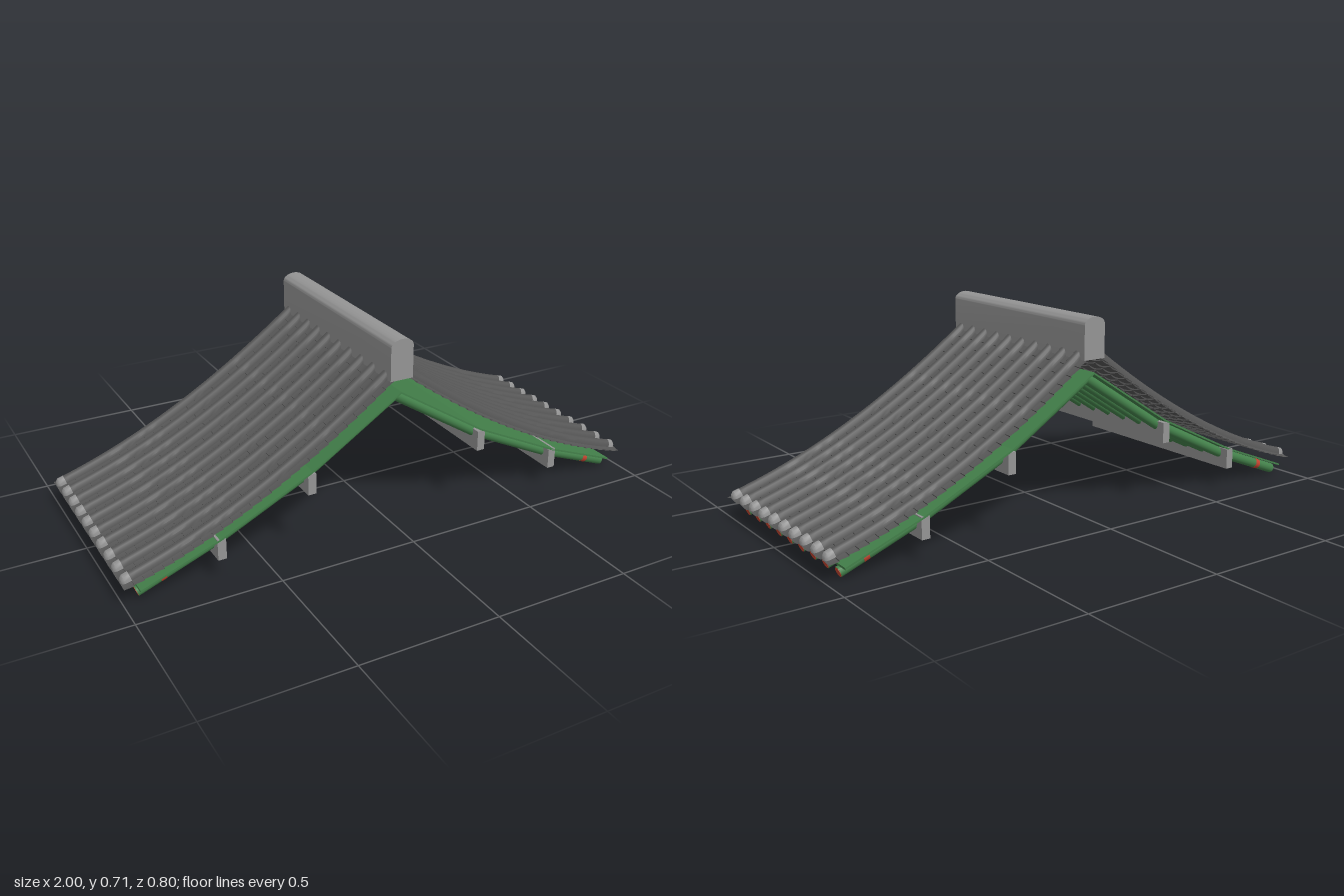
import * as THREE from 'three';
import { toCreasedNormals } from 'three/addons/utils/BufferGeometryUtils.js';

const mat = (name, color, side = THREE.FrontSide) => {
  const m = new THREE.MeshStandardMaterial({ color, side });
  m.name = name;
  return m;
};

// Surface grid: fn(i, j) gives a point, i runs down the slope, j runs along z
function grid(nu, nv, fn) {
  const pos = [], idx = [];
  for (let i = 0; i <= nu; i++) for (let j = 0; j <= nv; j++) pos.push(...fn(i, j));
  for (let i = 0; i < nu; i++) for (let j = 0; j < nv; j++) {
    const a = i * (nv + 1) + j, b = a + 1, c = a + nv + 1, d = c + 1;
    idx.push(a, b, c, b, d, c);
  }
  const g = new THREE.BufferGeometry();
  g.setAttribute('position', new THREE.Float32BufferAttribute(pos, 3));
  g.setIndex(idx);
  return toCreasedNormals(g, 0.7);
}

export function createModel() {
  const model = new THREE.Group();
  model.name = 'tiledRoof';
  const tile = mat('darkTile', 0x555555, THREE.DoubleSide);
  const stone = mat('grey', 0x949494);
  const cap = mat('greyCap', 0x949494, THREE.DoubleSide);
  const green = mat('greenPaint', 0x43804a);
  const red = mat('redPaint', 0xc0432f);

  const add = (parent, name, geo, material) => {
    const m = new THREE.Mesh(geo, material);
    m.name = name;
    parent.add(m);
    return m;
  };

  // Sagging roof line, and a point raised above it along its normal
  const line = new THREE.QuadraticBezierCurve(
    new THREE.Vector2(0.03, 0.58), new THREE.Vector2(0.53, 0.2), new THREE.Vector2(0.998, 0.068));
  const onRoof = (t, h, z) => {
    const p = line.getPoint(t), d = line.getTangent(t);
    return [p.x - d.y * h, p.y + d.x * h, z];
  };

  // Trough tiles in stepped courses, dipping between the ridges of cover tiles
  const courses = 28, pitch = 0.08, perPan = 8;
  const pans = grid(courses * 2 - 1, 10 * perPan, (i, j) => {
    const z = -0.4 + j * pitch / perPan;
    const u = (z / pitch - Math.round(z / pitch)) * 2;
    const t = Math.floor((i + 1) / 2) / courses;
    const step = i % 2 ? 0.005 : 0;
    return onRoof(t, step - 0.009 * (1 - u * u), z);
  });

  // Half-round cover tiles with rounded grey ends
  const arch = (t, s, j, n) => {
    const a = Math.PI * (1 - j / n);
    return onRoof(t, 0.024 * s * Math.sin(a), 0.019 * s * Math.cos(a));
  };
  const capStart = 0.963;
  const cover = grid(40, 7, (i, j) => arch(capStart * i / 40, 1, j, 7));
  const capRows = [[0, 1.04], [0.6, 1], [0.85, 0.7], [1, 0]];
  const coverCap = grid(3, 7, (i, j) =>
    arch(capStart + (1 - capStart) * capRows[i][0], capRows[i][1], j, 7));

  // Rafter line in three straight runs
  const rafter = [[0, 0.498], [0.335, 0.284], [0.665, 0.125], [0.945, 0.0175]]
    .map(([x, y]) => new THREE.Vector3(x, y, 0));
  const rod = (parent, name, a, b, r, material, z) => {
    const d = b.clone().sub(a);
    const m = add(parent, name, new THREE.CylinderGeometry(r, r, d.length(), 16), material);
    m.position.copy(a).add(b).multiplyScalar(0.5);
    m.position.z = z;
    m.quaternion.setFromUnitVectors(new THREE.Vector3(0, 1, 0), d.normalize());
  };

  // Boarding laid on the rafters
  const boards = new THREE.Shape();
  rafter.forEach((p, i) => boards[i ? 'lineTo' : 'moveTo'](p.x, p.y + 0.021));
  [...rafter].reverse().forEach(p => boards.lineTo(p.x, p.y + 0.028));
  const boardGeo = new THREE.ExtrudeGeometry(boards, { depth: 0.8, bevelEnabled: false });
  boardGeo.translate(0, 0, -0.4);

  // The two slopes are the same half turned about the ridge
  for (const side of ['left', 'right']) {
    const half = new THREE.Group();
    half.name = side + 'Slope';
    if (side === 'right') half.rotation.y = Math.PI;
    model.add(half);

    add(half, 'troughTiles', pans, tile);
    for (let k = 0; k < 10; k++) {
      const z = 0.36 - k * pitch;
      add(half, 'coverTile', cover, tile).position.z = z;
      add(half, 'coverTileEnd', coverCap, cap).position.z = z;
    }

    add(half, 'boarding', boardGeo, green);
    const eaveRun = t => rafter[2].clone().lerp(rafter[3], t);
    for (let k = 0; k < 9; k++) {
      const z = 0.352 - k * 0.088;
      for (let s = 0; s < 3; s++) rod(half, 'rafter', rafter[s], rafter[s + 1], 0.0185, green, z);
      rod(half, 'rafterBand', eaveRun(0.65), eaveRun(0.72), 0.019, red, z);
      rod(half, 'rafterEnd', eaveRun(0.99), eaveRun(1.004), 0.017, red, z);
    }

    // Purlins carrying the rafters
    for (const [x, y] of [[0.337, 0.265], [0.665, 0.113]]) {
      add(half, 'purlin', new THREE.BoxGeometry(0.03, 0.075, 0.8), stone).position.set(x, y, 0);
    }
  }

  // Ridge wall with a rounded top
  const w = 0.043;
  const ridge = new THREE.Shape();
  ridge.moveTo(-w, 0.57);
  ridge.lineTo(w, 0.57);
  ridge.lineTo(w, 0.688);
  ridge.absellipse(0, 0.688, w, 0.027, 0, Math.PI, false, 0);
  ridge.lineTo(-w, 0.57);
  const ridgeGeo = new THREE.ExtrudeGeometry(ridge, { depth: 0.8, bevelEnabled: false, curveSegments: 12 });
  ridgeGeo.translate(0, 0, -0.4);
  add(model, 'ridge', toCreasedNormals(ridgeGeo, 0.6), stone);

  return model;
}
